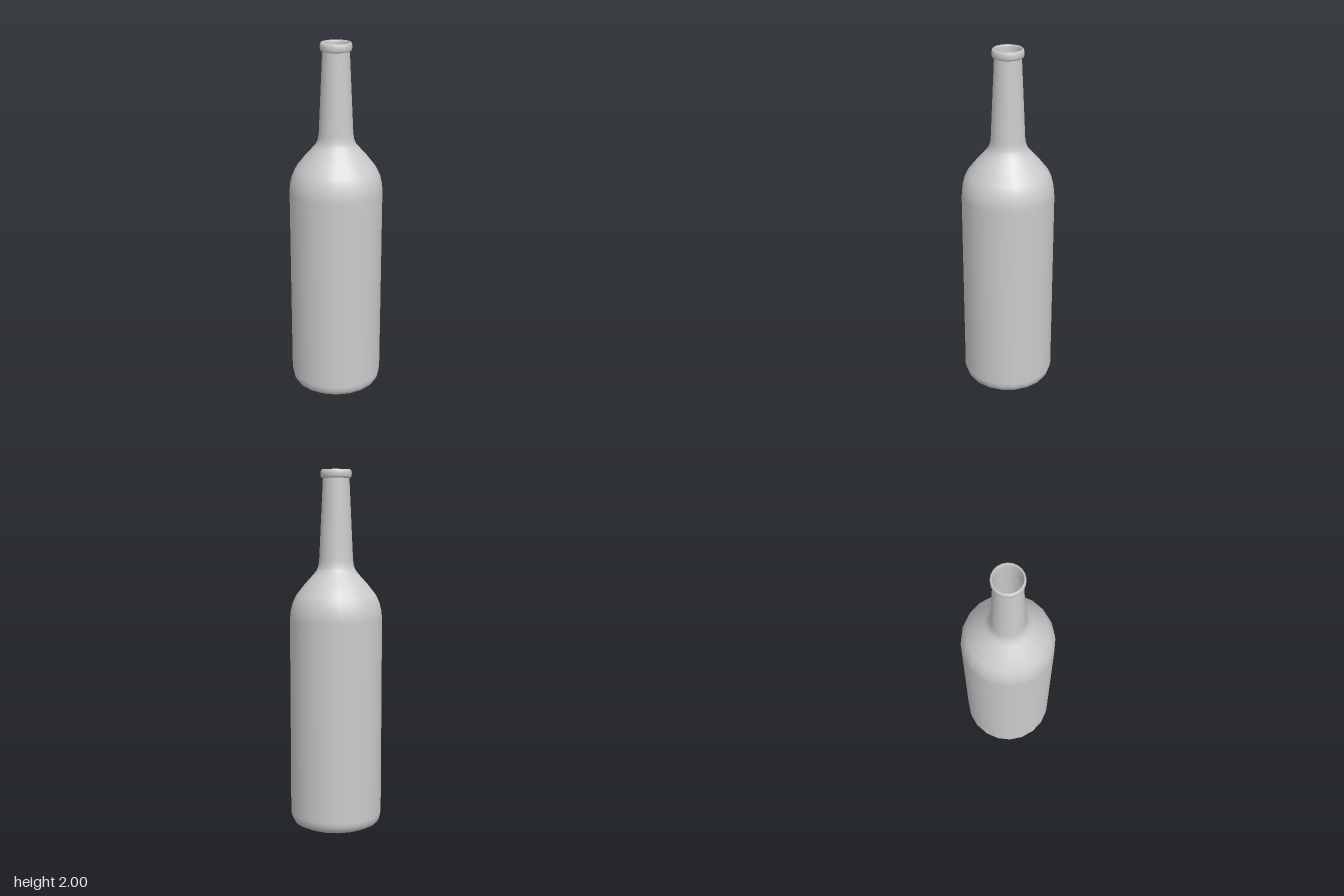
import * as THREE from 'three';

const SIDES = 20;

export function createModel() {
  const model = new THREE.Group();
  model.name = 'bottle';
  const material = new THREE.MeshStandardMaterial({ color: 0xcccccc, side: THREE.DoubleSide });

  // Turns a profile of [radius, height] pairs around the y axis
  const turn = (name, profile) => {
    const points = profile.map(([r, y]) => new THREE.Vector2(r, y));
    const mesh = new THREE.Mesh(new THREE.LatheGeometry(points, SIDES), material);
    mesh.name = name;
    model.add(mesh);
  };

  // Thin-walled body: base, bevelled foot, straight side, shoulder and tapering neck
  turn('body', [
    [0, 0], [0.2, 0.003], [0.24, 0.022], [0.252, 0.045], [0.258, 0.075],
    [0.258, 1.18], [0.254, 1.225], [0.243, 1.27], [0.222, 1.315],
    [0.175, 1.375], [0.125, 1.43], [0.108, 1.452], [0.099, 1.475], [0.094, 1.51],
    [0.073, 1.955],
  ]);

  // Rounded lip around the open mouth
  turn('lip', [
    [0.073, 1.953], [0.081, 1.955], [0.085, 1.965], [0.086, 1.98],
    [0.084, 1.993], [0.079, 2], [0.074, 1.997], [0.073, 1.985], [0.073, 1.953],
  ]);

  return model;
}
